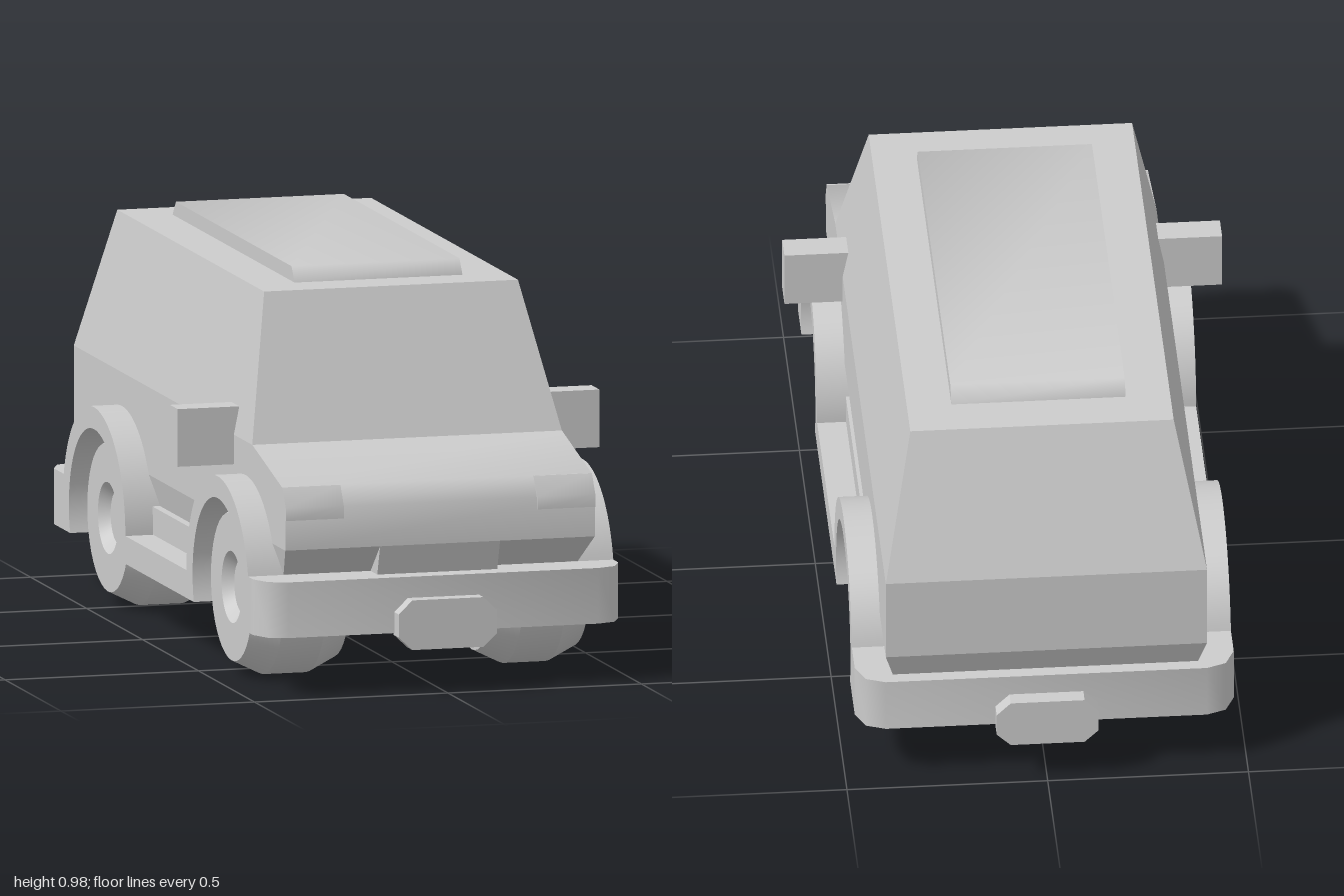
import * as THREE from 'three';
import { toCreasedNormals } from 'three/addons/utils/BufferGeometryUtils.js';

export function createModel() {
  const car = new THREE.Group();
  car.name = 'van';
  const grey = new THREE.MeshStandardMaterial({ color: 0xcccccc });
  grey.name = 'light grey';

  const add = (name, geometry, x = 0, y = 0, z = 0) => {
    const mesh = new THREE.Mesh(geometry, grey);
    mesh.name = name;
    mesh.position.set(x, y, z);
    car.add(mesh);
    return mesh;
  };
  const outline = (pts) => new THREE.Shape(pts.map(([a, b]) => new THREE.Vector2(a, b)));

  // Side profile drawn as (z, y), extruded across x from x0 to x1
  const across = (shape, x0, x1, crease = 0.3) => {
    const g = new THREE.ExtrudeGeometry(shape, { depth: x1 - x0, bevelEnabled: false, curveSegments: 24 });
    g.rotateY(-Math.PI / 2).translate(x1, 0, 0);
    return toCreasedNormals(g, crease);
  };

  // Stack of rectangles [y, halfWidth, zFront, zBack], flat shaded
  const loft = (levels) => {
    const pos = [], index = [];
    for (const [y, w, f, b] of levels) pos.push(-w, y, f, w, y, f, w, y, b, -w, y, b);
    for (let i = 0; i < levels.length - 1; i++) {
      for (let j = 0; j < 4; j++) {
        const a = i * 4 + j, b = i * 4 + (j + 1) % 4;
        index.push(a, b, b + 4, a, b + 4, a + 4);
      }
    }
    const t = (levels.length - 1) * 4;
    index.push(t, t + 1, t + 2, t, t + 2, t + 3, 0, 2, 1, 0, 3, 2);
    let g = new THREE.BufferGeometry();
    g.setAttribute('position', new THREE.Float32BufferAttribute(pos, 3));
    g.setIndex(index);
    g = g.toNonIndexed();
    g.computeVertexNormals();
    return g;
  };

  // Cabin and tapered lower body
  add('cabin', loft([
    [0.365, 0.40, 0.635, -0.96],
    [0.585, 0.40, 0.635, -0.96],
    [0.945, 0.328, 0.492, -0.82],
  ]));
  add('lowerBody', loft([
    [0.22, 0.36, 0.765, -0.895],
    [0.29, 0.38, 0.845, -0.927],
    [0.365, 0.40, 0.93, -0.96],
  ]));

  // Rounded bonnet with headlights and a chin between the lower panels
  add('bonnet', across(outline([
    [0.635, 0.365], [0.93, 0.365], [0.93, 0.47], [0.90, 0.52], [0.635, 0.585],
  ]), -0.40, 0.40, 0.85));
  add('chin', across(outline([[0.8, 0.29], [0.905, 0.29], [0.93, 0.365], [0.8, 0.365]]), -0.155, 0.155));
  const lamp = outline([[0.92, 0.44], [0.934, 0.44], [0.934, 0.472], [0.904, 0.52], [0.89, 0.52]]);
  add('leftHeadlight', across(lamp, 0.25, 0.40, 0.7));
  add('rightHeadlight', across(lamp, -0.40, -0.25, 0.7));

  // Raised roof panel
  add('roofPanel', across(outline([
    [0.38, 0.94], [0.38, 0.945], [0.353, 0.982], [-0.68, 0.982], [-0.71, 0.945], [-0.71, 0.94],
  ]), -0.217, 0.217, 0.97));

  // Floor
  add('floor', new THREE.BoxGeometry(0.80, 0.14, 1.76), 0, 0.22, 0);

  // Wheel arches joined by a sill, one per side
  const front = 0.575, rear = -0.53, axleY = 0.22;
  const outer = 0.28, inner = 0.225;
  const a = Math.asin(0.07 / outer), b = Math.asin(0.07 / inner);
  const fender = new THREE.Shape();
  fender.moveTo(0.87, 0.15);
  fender.lineTo(0.87, 0.29);
  fender.absarc(front, axleY, outer, a, Math.PI, false);
  fender.absarc(rear, axleY, outer, 0, Math.PI - a, false);
  fender.lineTo(-0.87, 0.29);
  fender.lineTo(-0.87, 0.15);
  fender.absarc(rear, axleY, inner, Math.PI + b, -b, true);
  fender.absarc(front, axleY, inner, Math.PI + b, -b, true);
  add('leftFender', across(fender, 0.35, 0.472));
  add('rightFender', across(fender, -0.472, -0.35));

  // Bumpers with cut corners, each carrying an eight-sided plate
  const bumperPlan = outline([
    [-0.472, 0.87], [0.472, 0.87], [0.472, 0.89], [0.448, 0.942], [0.40, 0.96],
    [-0.40, 0.96], [-0.448, 0.942], [-0.472, 0.89],
  ]);
  const bumper = toCreasedNormals(
    new THREE.ExtrudeGeometry(bumperPlan, { depth: 0.14, bevelEnabled: false })
      .rotateX(Math.PI / 2).translate(0, 0.29, 0), 0.8);
  const plate = new THREE.ExtrudeGeometry(outline([
    [-0.092, 0.112], [0.092, 0.112], [0.127, 0.145], [0.127, 0.203],
    [0.092, 0.237], [-0.092, 0.237], [-0.127, 0.203], [-0.127, 0.145],
  ]), { depth: 0.045, bevelEnabled: false }).translate(0, 0, 0.955);
  for (const [end, turn] of [['front', 0], ['rear', Math.PI]]) {
    add(end + 'Bumper', bumper).rotation.y = turn;
    add(end + 'Plate', plate).rotation.y = turn;
  }

  // Wheels with bevelled tyres and recessed hubs, plus door mirrors
  const wheelProfile = [
    [0, -0.126], [0.185, -0.126], [0.22, -0.055], [0.22, 0.055], [0.185, 0.126],
    [0.09, 0.126], [0.066, 0.1], [0, 0.1],
  ].map(([r, h]) => new THREE.Vector2(r, h));
  const wheel = toCreasedNormals(new THREE.LatheGeometry(wheelProfile, 40), 0.35);
  for (const [side, s] of [['Left', 1], ['Right', -1]]) {
    add('front' + side + 'Wheel', wheel, s * 0.31, axleY, front).rotation.z = -s * Math.PI / 2;
    add('rear' + side + 'Wheel', wheel, s * 0.31, axleY, rear).rotation.z = -s * Math.PI / 2;
    add('mirror' + side, new THREE.BoxGeometry(0.16, 0.145, 0.07), s * 0.465, 0.583, 0.435);
  }
  return car;
}
